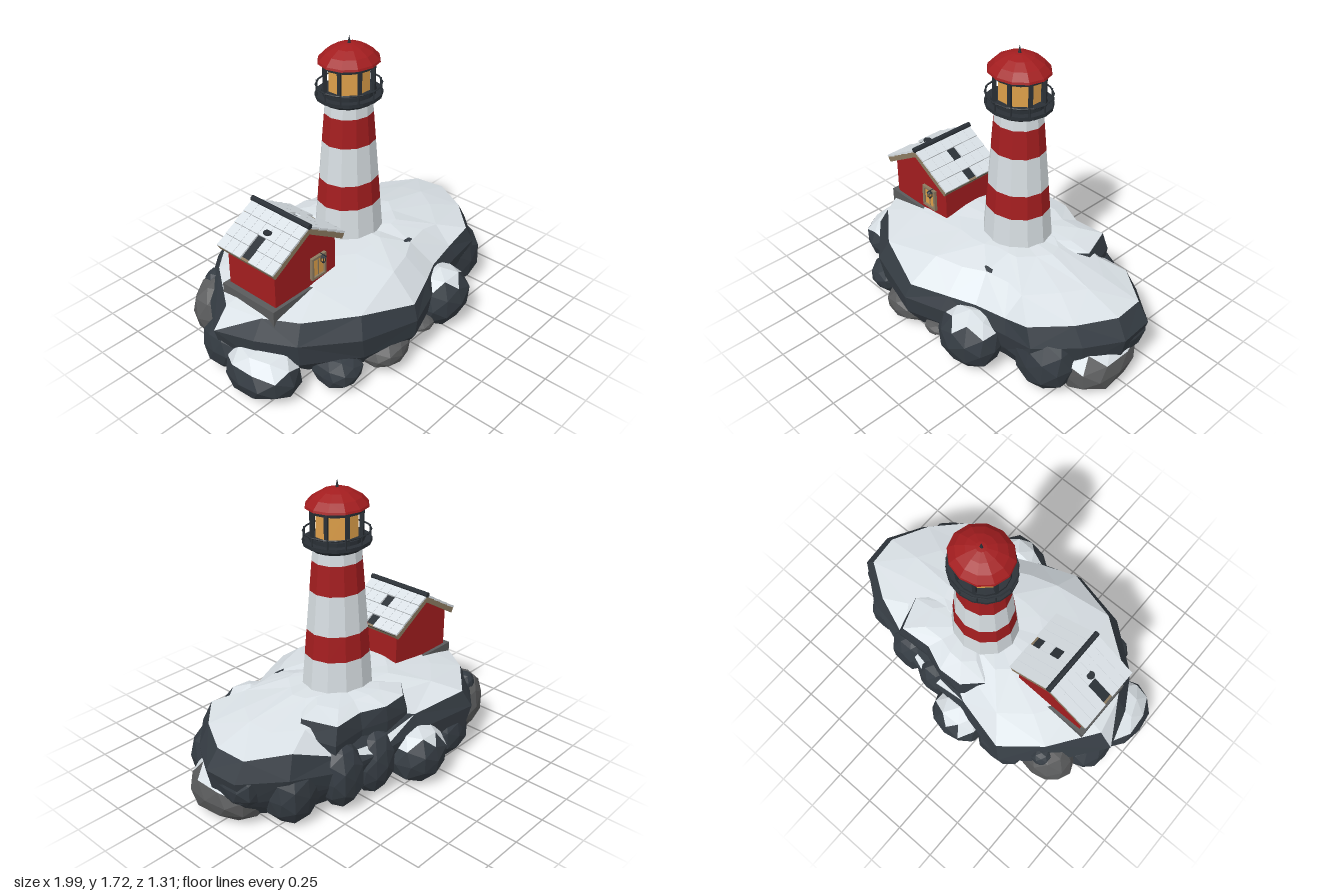
import * as THREE from 'three';

const mat = (name, color) => Object.assign(new THREE.MeshStandardMaterial({ color, flatShading: true }), { name });

export function createModel() {
  const M = {
    snow: mat('snow', 0xd9e0e5), white: mat('tower white', 0xd6dde1), rock: mat('dark rock', 0x353c43),
    stone: mat('grey stone', 0x5a5b5c), red: mat('red paint', 0xa31d1f), iron: mat('black iron', 0x2a3036),
    wood: mat('weathered wood', 0x8c7b61), glow: mat('amber glass', 0xdfa04a),
  };
  const model = new THREE.Group();
  model.name = 'lighthouseIsland';

  const add = (parent, name, geo, material, x = 0, y = 0, z = 0) => {
    const m = new THREE.Mesh(geo, material);
    m.name = name;
    m.position.set(x, y, z);
    parent.add(m);
    return m;
  };
  const box = (parent, name, w, h, d, material, x, y, z) => add(parent, name, new THREE.BoxGeometry(w, h, d), material, x, y, z);
  const group = (name, x, y, z, parent = model) => {
    const g = new THREE.Group();
    g.name = name;
    g.position.set(x, y, z);
    parent.add(g);
    return g;
  };
  // Repeatable noise in -1..1 from a position
  const noise = (x, y, z, k) => {
    const s = Math.sin(x * 127.1 + y * 311.7 + z * 74.7 + k * 53.3) * 43758.5453;
    return (s - Math.floor(s)) * 2 - 1;
  };

  // Splits triangles into bare rock and snow, by how far they face upward
  function snowy(name, tris, rockMat, limit) {
    const bare = [], snow = [], n = new THREE.Vector3();
    for (const t of tris) {
      new THREE.Triangle(...t).getNormal(n);
      (n.y > limit ? snow : bare).push(...t);
    }
    const geo = new THREE.BufferGeometry().setFromPoints([...bare, ...snow]);
    geo.addGroup(0, bare.length, 0);
    geo.addGroup(bare.length, snow.length, 1);
    geo.computeVertexNormals();
    return add(model, name, geo, [rockMat, M.snow]);
  }

  // Rock built from an outline (counterclockwise from above) scaled at each level
  function ringRock(name, outline, levels, cx, cz, topY, rough, limit) {
    const rings = levels.map(([s, y, rimDrop = 0], k) => outline.map(([x, z, drop = 0]) => new THREE.Vector3(
      cx + (x - cx) * s + noise(x, y, z, 1) * rough * (k === 3 ? 0.3 : 1),
      k ? y - drop * rimDrop + noise(x, y, z, 2) * rough * 0.6 : y,
      cz + (z - cz) * s + noise(x, y, z, 3) * rough * (k === 3 ? 0.3 : 1))));
    const n = outline.length, tris = [];
    const top = new THREE.Vector3(cx, topY, cz), bottom = new THREE.Vector3(cx, levels[0][1], cz);
    for (let j = 0; j < n; j++) {
      const i = (j + 1) % n;
      for (let k = 0; k + 1 < rings.length; k++) {
        const a = rings[k], b = rings[k + 1];
        if ((j + k) % 2) tris.push([a[j], a[i], b[i]], [a[j], b[i], b[j]]);
        else tris.push([a[j], a[i], b[j]], [a[i], b[i], b[j]]);
      }
      tris.push([rings.at(-1)[j], rings.at(-1)[i], top], [rings[0][i], rings[0][j], bottom]);
    }
    return snowy(name, tris, M.rock, limit);
  }

  // Island; the third number lowers the rim at the front and behind the tower
  ringRock('islandRock', [
    [0.99, 0.03], [0.97, -0.17], [0.75, -0.34], [0.5, -0.43, 1.2], [0.2, -0.48, 1.5], [-0.12, -0.51, 0.8], [-0.48, -0.59],
    [-0.72, -0.4], [-0.94, -0.1], [-0.87, 0.13], [-0.75, 0.33], [-0.48, 0.55], [-0.13, 0.64, 0.9], [0.1, 0.56, 1],
    [0.27, 0.48, 1], [0.5, 0.44, 0.8], [0.68, 0.44], [0.87, 0.24],
  ], [[0.52, 0.005], [0.83, 0.07], [0.97, 0.2], [1, 0.34, 0.03], [0.92, 0.455, 0.07], [0.68, 0.508], [0.36, 0.56]],
  0.05, -0.02, 0.575, 0.014, 0.6);

  // Raised ledge behind the tower
  ringRock('upperLedge', [
    [0.53, -0.2], [0.46, -0.4], [0.25, -0.39], [0.1, -0.44], [-0.05, -0.44], [-0.16, -0.34], [0, -0.15], [0.08, 0.02], [0.32, 0.02],
  ], [[1, 0.3], [1.02, 0.44], [0.96, 0.535], [0.6, 0.565]], 0.15, -0.15, 0.575, 0.008, 0.7);

  // Shore boulders: position, radii, material, snow-capped
  const boulders = [
    [0.27, 0.2, 0.49, 0.19, 0.18, 0.16, M.rock, 1], [-0.82, 0.14, 0.14, 0.18, 0.15, 0.22, M.rock, 1],
    [-0.53, 0.12, 0.41, 0.13, 0.1, 0.14, M.rock, 0], [-0.24, 0.13, 0.51, 0.16, 0.09, 0.12, M.stone, 0],
    [0.04, 0.145, 0.53, 0.08, 0.032, 0.08, M.stone, 0], [0.66, 0.2, 0.29, 0.18, 0.2, 0.16, M.rock, 0],
    [0.82, 0.14, 0.06, 0.17, 0.15, 0.25, M.stone, 1], [0.86, 0.28, -0.08, 0.11, 0.14, 0.16, M.rock, 0],
    [0.65, 0.2, -0.26, 0.17, 0.19, 0.13, M.rock, 0], [0.4, 0.22, -0.37, 0.13, 0.2, 0.12, M.rock, 0],
    [0.17, 0.21, -0.4, 0.13, 0.19, 0.11, M.rock, 0], [-0.1, 0.18, -0.5, 0.18, 0.16, 0.16, M.rock, 1],
    [-0.4, 0.17, -0.44, 0.17, 0.15, 0.14, M.rock, 0], [-0.67, 0.22, -0.36, 0.17, 0.19, 0.14, M.stone, 0],
    [-0.81, 0.17, -0.13, 0.13, 0.16, 0.16, M.rock, 0], [-0.66, 0.36, -0.41, 0.06, 0.07, 0.06, M.rock, 0],
  ];
  for (const [x, y, z, rx, ry, rz, material, cap] of boulders) {
    const p = new THREE.IcosahedronGeometry(1, 1).getAttribute('position'), tris = [];
    for (let i = 0; i < p.count; i++) {
      const v = new THREE.Vector3().fromBufferAttribute(p, i);
      const q = [v.x, v.y, v.z].map((c) => Math.round(c * 50) / 50 + x + 3);
      const boxy = 0.3 * (1 - Math.max(...v.toArray().map(Math.abs)));
      v.multiplyScalar(1 + boxy + 0.06 * noise(...q, 5));
      v.set(x + v.x * rx, Math.max(0.015, y + v.y * ry), z + v.z * rz);
      if (i % 3) tris.at(-1).push(v); else tris.push([v]);
    }
    snowy('boulder', tris, material, cap ? 0.62 : 2);
  }
  add(model, 'exposedRock', new THREE.DodecahedronGeometry(0.05), M.rock, 0.2, 0.505, 0.29).scale.set(1.2, 0.45, 0.5);

  // Tower: stacked tapering bands, slightly narrower front to back
  const tower = group('lighthouse', 0.08, 0, -0.05);
  tower.scale.z = 0.92;
  const bands = [0.5, 0.747, 0.895, 1.123, 1.292, 1.37];
  const radius = (y) => 0.21 - (y - 0.57) * 0.087;
  for (let i = 0; i < 5; i++) {
    const [a, b] = [bands[i], bands[i + 1]];
    add(tower, i % 2 ? 'redBand' : 'whiteBand', new THREE.CylinderGeometry(radius(b), radius(a), b - a, 12), i % 2 ? M.red : M.white, 0, (a + b) / 2);
  }

  // Gallery with railing
  add(tower, 'galleryBracket', new THREE.CylinderGeometry(0.19, 0.15, 0.03, 16), M.iron, 0, 1.37);
  add(tower, 'galleryDeck', new THREE.CylinderGeometry(0.195, 0.195, 0.02, 16), M.iron, 0, 1.394);
  add(tower, 'railing', new THREE.TorusGeometry(0.19, 0.005, 5, 16), M.iron, 0, 1.45).rotation.x = Math.PI / 2;
  for (let i = 0; i < 12; i++) {
    const a = i * Math.PI / 6;
    add(tower, 'railingPost', new THREE.CylinderGeometry(0.005, 0.005, 0.06, 5), M.iron, 0.19 * Math.cos(a), 1.425, 0.19 * Math.sin(a));
  }

  // Lantern room with free-standing posts, dome and spire
  add(tower, 'lanternGlass', new THREE.CylinderGeometry(0.126, 0.126, 0.18, 8).rotateY(Math.PI / 8), M.glow, 0, 1.49);
  add(tower, 'lanternSill', new THREE.CylinderGeometry(0.158, 0.158, 0.025, 16), M.iron, 0, 1.413);
  add(tower, 'lanternHead', new THREE.CylinderGeometry(0.16, 0.156, 0.025, 16), M.iron, 0, 1.574);
  for (let i = 0; i < 8; i++) {
    const a = (i + 0.5) * Math.PI / 4;
    box(tower, 'lanternPost', 0.02, 0.18, 0.02, M.iron, 0.148 * Math.cos(a), 1.49, 0.148 * Math.sin(a)).rotation.y = -a;
  }
  const dome = [[0, 1.579], [0.165, 1.579], [0.181, 1.584], [0.177, 1.596], [0.14, 1.634], [0.085, 1.665], [0.03, 1.68], [0, 1.682]];
  add(tower, 'dome', new THREE.LatheGeometry(dome.map((p) => new THREE.Vector2(...p)), 12), M.red);
  add(tower, 'spire', new THREE.ConeGeometry(0.011, 0.05, 6), M.iron, 0, 1.7);

  // House walls with gables, on a stone footing
  const house = group('keeperHouse', -0.515, 0, 0);
  box(house, 'footing', 0.53, 0.13, 0.39, M.stone, 0, 0.45, 0);
  const wall = new THREE.Shape([[-0.228, 0.5], [0.228, 0.5], [0.228, 0.752], [0, 0.893], [-0.228, 0.752]].map((p) => new THREE.Vector2(...p)));
  add(house, 'walls', new THREE.ExtrudeGeometry(wall, { depth: 0.35, bevelEnabled: false }), M.red, 0, 0, -0.175);

  // Roof: rows of snowy tiles on a dark deck, some tiles missing
  const slope = 0.543, len = 0.31;
  for (const side of [-1, 1]) {
    const roof = group('roofSlope', 0, 0.908, 0, house);
    roof.rotation.z = -side * slope;
    box(roof, 'roofDeck', len, 0.012, 0.4, M.iron, side * len / 2, 0, 0);
    const missing = side < 0 ? [2, 3] : [1, 3];
    for (let r = 0; r < 4; r++) for (let c = 0; c < 7; c++) {
      if (c === 3 && missing.includes(r)) continue;
      box(roof, 'roofTile', 0.0755, 0.012, 0.0585, M.snow, side * (r + 0.5) * len / 4, 0.011, (c - 3) * 0.06).rotation.z = side * 0.06;
    }
    for (const z of [-0.196, 0.196]) box(roof, 'bargeBoard', len, 0.036, 0.024, M.wood, side * len / 2, -0.008, z);
    box(roof, 'eaveBoard', 0.014, 0.03, 0.4, M.wood, side * (len - 0.007), -0.008, 0);
  }
  add(house, 'ridgeCap', new THREE.CylinderGeometry(0.016, 0.016, 0.43, 8).rotateX(Math.PI / 2), M.iron, 0, 0.926, 0);
  add(house, 'stovePipe', new THREE.CylinderGeometry(0.018, 0.018, 0.05, 8), M.iron, -0.115, 0.84, 0.02);
  add(house, 'stovePipeCap', new THREE.CylinderGeometry(0.025, 0.025, 0.01, 8), M.iron, -0.115, 0.862, 0.02);

  // Front window with frame, glazing bar and wall lamp
  const win = group('window', 0.087, 0.622, 0.175, house);
  box(win, 'windowPane', 0.09, 0.12, 0.008, M.glow, 0, 0, 0.003);
  for (const s of [-1, 1]) {
    box(win, 'windowJamb', 0.014, 0.135, 0.02, M.wood, s * 0.048, 0, 0.008);
    box(win, 'windowRail', 0.11, 0.014, 0.02, M.wood, 0, s * 0.062, 0.008);
  }
  box(win, 'glazingBar', 0.006, 0.12, 0.008, M.wood, 0, 0, 0.006);
  const lamp = group('wallLamp', 0.11, 0.665, 0.2, house);
  box(lamp, 'lampArm', 0.006, 0.006, 0.04, M.iron, 0, 0.024, -0.012);
  add(lamp, 'lampGlass', new THREE.CylinderGeometry(0.012, 0.009, 0.03, 6), M.glow);
  add(lamp, 'lampHood', new THREE.ConeGeometry(0.02, 0.016, 6), M.iron, 0, 0.02, 0);
  add(lamp, 'lampBase', new THREE.CylinderGeometry(0.012, 0.008, 0.012, 6), M.iron, 0, -0.02, 0);
  for (let i = 0; i < 4; i++) {
    const a = (i + 0.5) * Math.PI / 2;
    box(lamp, 'lampBar', 0.004, 0.036, 0.004, M.iron, 0.012 * Math.cos(a), 0, 0.012 * Math.sin(a));
  }
  return model;
}
